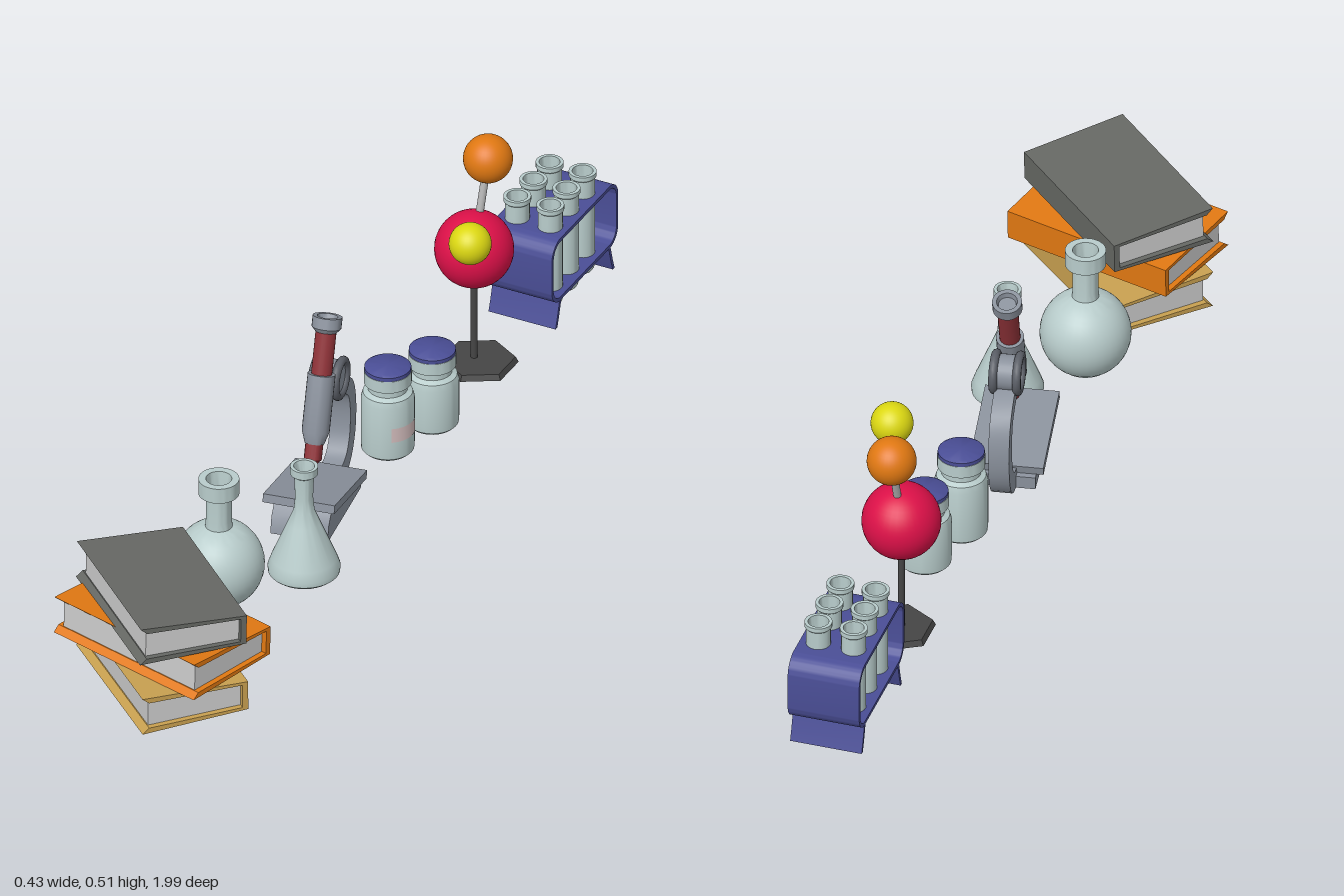
import * as THREE from 'three';
import { toCreasedNormals } from 'three/addons/utils/BufferGeometryUtils.js';

const C = {
  glass: 0xb8cccb, blue: 0x4a4e96, grey: 0x8a919c, red: 0x8e3238, dark: 0x454545, rod: 0xb0b0b0,
  page: 0xd4d4d4, slate: 0x666864, orange: 0xe07812, tan: 0xc8a050, crimson: 0xdc1048, yellow: 0xdcd812, pink: 0xd2bcbc,
};

function add(parent, name, geo, color, pos = [0, 0, 0], double = false) {
  const mat = new THREE.MeshStandardMaterial({ color, side: double ? THREE.DoubleSide : THREE.FrontSide });
  const m = new THREE.Mesh(geo, mat);
  m.name = name;
  m.position.set(...pos);
  parent.add(m);
  return m;
}

function group(parent, name, pos = [0, 0, 0], rotY = 0) {
  const g = new THREE.Group();
  g.name = name;
  g.position.set(...pos);
  g.rotation.y = rotY;
  parent.add(g);
  return g;
}

const vecs = (pts) => pts.map((p) => new THREE.Vector2(...p));
const lathe = (pts, seg = 36) => toCreasedNormals(new THREE.LatheGeometry(vecs(pts), seg), 0.6);

// Extrudes a (z, y) outline sideways, centred on x = 0
function sideExtrude(shape, width) {
  const geo = new THREE.ExtrudeGeometry(shape, { depth: width, bevelEnabled: false, curveSegments: 8 });
  geo.translate(0, 0, -width / 2).rotateY(-Math.PI / 2);
  return toCreasedNormals(geo, 0.6);
}

// Straight round bar between two points
function bar(parent, name, a, b, r, color) {
  const A = new THREE.Vector3(...a), B = new THREE.Vector3(...b), d = B.clone().sub(A);
  const m = add(parent, name, new THREE.CylinderGeometry(r, r, d.length(), 16), color, A.lerp(B, 0.5).toArray());
  m.quaternion.setFromUnitVectors(new THREE.Vector3(0, 1, 0), d.normalize());
}

// Book: spine on local -z, covers spreading slightly towards the open edge
function book(parent, name, pos, rotY, tilt, len, color) {
  const g = group(parent, name, pos, rotY);
  g.rotation.order = 'YXZ';
  g.rotation.x = tilt[0];
  g.rotation.z = tilt[1];
  const w = 0.113, hs = 0.032, ho = 0.041, t = 0.006;
  const cover = new THREE.Shape(vecs([
    [-w, -hs], [w, -ho], [w - 0.014, -ho + 0.012], [-w + 0.012, -hs + t],
    [-w + 0.012, hs - t], [w - 0.014, ho - 0.012], [w, ho], [-w, hs],
  ]));
  add(g, 'cover', sideExtrude(cover, len), color);
  const pages = new THREE.Shape(vecs([
    [-w + 0.011, -hs + t], [w - 0.016, -ho + 0.011], [w - 0.016, ho - 0.011], [-w + 0.011, hs - t],
  ]));
  add(g, 'pages', sideExtrude(pages, len - 0.024), C.page);
}

function books(root) {
  const g = group(root, 'bookStack');
  book(g, 'bottomBook', [0, 0.043, 0.78], -0.73, [0, 0.01], 0.367, C.tan);
  book(g, 'middleBook', [0, 0.123, 0.78], -0.27, [-0.02, 0], 0.378, C.orange);
  book(g, 'topBook', [-0.002, 0.2, 0.779], -0.745, [-0.03, 0.02], 0.367, C.slate);
}

function flasks(root) {
  // Sphere with a flat foot, running up into neck and lip
  const round = [[0, 0.008], [0.05, 0.008]];
  for (let i = 0; i <= 16; i++) {
    const a = -0.95 + (i / 16) * (0.95 + 1.27);
    round.push([0.092 * Math.cos(a), 0.086 + 0.092 * Math.sin(a)]);
  }
  round.push([0.026, 0.19], [0.026, 0.25], [0.041, 0.25], [0.041, 0.284], [0.026, 0.284], [0.023, 0.25], [0.021, 0.18], [0, 0.15]);
  add(root, 'roundFlask', lathe(round), C.glass, [-0.036, 0, 0.46], true);
  const cone = [
    [0, 0.012], [0.064, 0.012], [0.072, 0.019], [0.073, 0.03], [0.066, 0.05], [0.033, 0.13], [0.021, 0.16], [0.018, 0.19],
    [0.02, 0.24], [0.028, 0.246], [0.028, 0.263], [0.021, 0.263], [0.016, 0.235], [0.015, 0.18], [0, 0.14],
  ];
  add(root, 'conicalFlask', lathe(cone), C.glass, [0.079, 0, 0.311], true);
}

function microscope(root) {
  const g = group(root, 'microscope', [-0.003, 0, 0.1], 0.16);
  const foot = new THREE.Shape(vecs([[-0.11, 0.015], [0.108, 0.015], [0.1, 0.05], [0.085, 0.07], [-0.11, 0.042]]));
  add(g, 'foot', sideExtrude(foot, 0.12), C.grey);
  const stage = add(g, 'stage', new THREE.BoxGeometry(0.15, 0.018, 0.216), C.grey, [0, 0.075, 0.004]);
  stage.rotation.x = -0.2;

  // Curved arm: a band of even thickness following a path
  const curve = new THREE.SplineCurve(vecs([
    [-0.03, 0.03], [-0.13, 0.042], [-0.172, 0.085], [-0.182, 0.15], [-0.168, 0.205], [-0.13, 0.235], [-0.08, 0.25],
  ]));
  const outer = [], inner = [];
  for (let i = 0; i <= 24; i++) {
    const p = curve.getPoint(i / 24), t = curve.getTangent(i / 24);
    const h = 0.022 - 0.006 * (i / 24);
    outer.push(new THREE.Vector2(p.x - t.y * h, p.y + t.x * h));
    inner.unshift(new THREE.Vector2(p.x + t.y * h, p.y - t.x * h));
  }
  add(g, 'arm', sideExtrude(new THREE.Shape([...outer, ...inner]), 0.042), C.grey);

  // Focus knob with raised rims
  add(g, 'focusKnob', new THREE.CylinderGeometry(0.037, 0.037, 0.05, 28).rotateZ(Math.PI / 2), C.grey, [0, 0.278, -0.089]);
  for (const s of [-1, 1]) {
    const rim = new THREE.TorusGeometry(0.037, 0.009, 10, 28).rotateY(Math.PI / 2);
    add(g, 'knobRim', rim, 0x5c6068, [s * 0.024, 0.278, -0.089]);
  }

  // Tilted optical tube, modelled upright along its own axis
  const tube = group(g, 'opticalTube', [0.004, 0.135, 0.037]);
  tube.rotation.x = -0.335;
  add(tube, 'objective', lathe([[0, 0], [0.009, 0], [0.011, 0.014], [0.018, 0.022], [0.018, 0.065], [0, 0.065]], 24), C.red);
  add(tube, 'body', lathe([[0, 0.055], [0.02, 0.055], [0.028, 0.08], [0.028, 0.198], [0, 0.198]], 24), C.grey);
  add(tube, 'drawTube', new THREE.CylinderGeometry(0.021, 0.021, 0.1, 24), C.red, [0, 0.243, 0]);
  const eye = [[0, 0.285], [0.022, 0.285], [0.03, 0.294], [0.03, 0.317], [0.021, 0.317], [0.018, 0.306], [0, 0.306]];
  add(tube, 'eyepiece', lathe(eye, 24), C.grey);
}

function jar(root, name, x, z, top) {
  const g = group(root, name, [x, 0, z]);
  const b = top - 0.055;
  const body = [
    [0, 0.012], [0.047, 0.012], [0.053, 0.018], [0.054, 0.03], [0.054, b - 0.02], [0.05, b - 0.006], [0.04, b],
    [0.04, b + 0.014], [0.048, b + 0.016], [0.048, top - 0.012], [0, top - 0.012],
  ];
  add(g, 'glass', lathe(body), C.glass, [0, 0, 0], true);
  const lid = [[0.044, top - 0.014], [0.047, top - 0.012], [0.047, top - 0.004], [0.041, top], [0, top]];
  add(g, 'stopper', lathe(lid), C.blue);
  return g;
}

function molecule(root) {
  const g = group(root, 'moleculeModel');
  const mid = [0.024, 0.278, -0.545];
  const base = new THREE.CylinderGeometry(0.074, 0.08, 0.012, 6).toNonIndexed();
  base.computeVertexNormals();
  add(g, 'base', base, C.dark, [0.034, 0.017, -0.545]);
  bar(g, 'post', [0.024, 0.015, -0.545], mid, 0.007, C.dark);
  const ball = (name, r, c, p) => add(g, name, new THREE.SphereGeometry(r, 36, 24), c, p);
  ball('centreBall', 0.08, C.crimson, mid);
  for (const [name, p, r, c] of [
    ['upperBall', [0.026, 0.459, -0.602], 0.05, C.orange],
    ['sideBall', [0.094, 0.397, -0.39], 0.043, C.yellow],
  ]) {
    ball(name, r, c, p);
    bar(g, 'link', mid, p, 0.008, C.rod);
  }
}

function roundedRect(path, w, h, r) {
  const x = w / 2 - r, y = h / 2 - r;
  path.absarc(x, y, r, 0, Math.PI / 2);
  path.absarc(-x, y, r, Math.PI / 2, Math.PI);
  path.absarc(-x, -y, r, Math.PI, Math.PI * 1.5);
  path.absarc(x, -y, r, Math.PI * 1.5, Math.PI * 2);
  path.closePath();
  return path;
}

function rack(root) {
  const g = group(root, 'testTubeRack', [0.04, 0, -0.854]);
  const frame = roundedRect(new THREE.Shape(), 0.292, 0.146, 0.038);
  frame.holes.push(roundedRect(new THREE.Path(), 0.276, 0.13, 0.03));
  add(g, 'frame', sideExtrude(frame, 0.15), C.blue, [0, 0.142, 0]);
  // Splayed feet running the full width
  for (const s of [-1, 1]) {
    const pts = [[0.103, 0.074], [0.111, 0.074], [0.122, 0.035], [0.13, 0.012], [0.122, 0.012], [0.114, 0.035]];
    const foot = new THREE.Shape(vecs(pts.map(([z, y]) => [s * z, y])));
    add(g, 'foot', sideExtrude(foot, 0.15), C.blue);
  }
  // Round-bottomed tubes, open at the top
  const prof = [];
  for (let i = 0; i <= 8; i++) {
    const a = (i / 8) * Math.PI / 2;
    prof.push([0.025 * Math.sin(a), 0.052 - 0.025 * Math.cos(a)]);
  }
  prof.push([0.025, 0.254], [0.028, 0.257], [0.028, 0.267], [0.021, 0.267], [0.02, 0.2], [0, 0.19]);
  const geo = lathe(prof, 24);
  for (const x of [-0.037, 0.037]) {
    for (const z of [-0.071, 0, 0.071]) add(g, 'testTube', geo, C.glass, [x, 0, z + 0.007], true);
  }
}

export function createModel() {
  const root = new THREE.Group();
  root.name = 'scienceSet';
  books(root);
  flasks(root);
  microscope(root);
  const large = jar(root, 'largeJar', 0.018, -0.177, 0.21);
  const label = new THREE.CylinderGeometry(0.055, 0.055, 0.032, 16, 1, true, 0.6, 1.3);
  add(large, 'label', label, C.pink, [0, 0.075, 0], true);
  jar(root, 'smallJar', 0.053, -0.304, 0.19);
  molecule(root);
  rack(root);
  return root;
}
